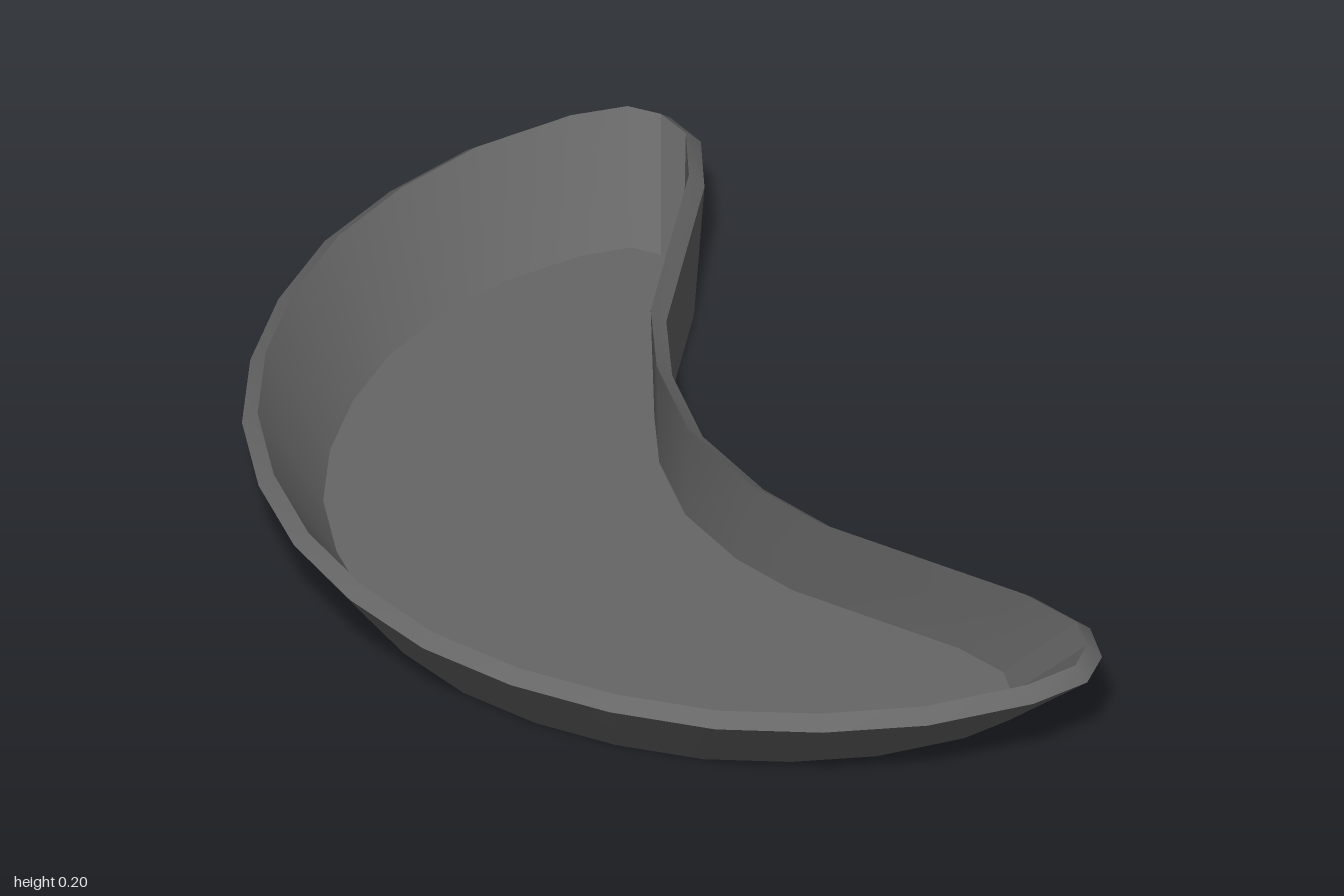
import * as THREE from 'three';
import { toCreasedNormals } from 'three/addons/utils/BufferGeometryUtils.js';

// Half of the crescent rim as [x, z], from the middle of the back round the tip to the hollow
const HALF = [
  [-0.595, 0], [-0.575, 0.195], [-0.52, 0.385], [-0.425, 0.555], [-0.3, 0.705], [-0.15, 0.833],
  [0.02, 0.923], [0.2, 0.982], [0.4, 1], [0.515, 0.98], [0.572, 0.92], [0.59, 0.83],
  [0.537, 0.7], [0.3, 0.35], [0.24, 0.195], [0.21, 0],
];

// Move an outline inwards by a distance
function inset(ring, d) {
  const n = ring.length;
  return ring.map(([x, z], i) => {
    const [ax, az] = ring[(i + n - 1) % n], [bx, bz] = ring[(i + 1) % n];
    const len = Math.hypot(bx - ax, bz - az);
    return [x + (bz - az) / len * d, z - (bx - ax) / len * d];
  });
}

const lift = (ring, y) => ring.map(([x, z]) => [x, y(x), z]);

function toMesh(name, positions, material) {
  const geometry = new THREE.BufferGeometry();
  geometry.setAttribute('position', new THREE.Float32BufferAttribute(positions, 3));
  const mesh = new THREE.Mesh(toCreasedNormals(geometry, 0.45), material);
  mesh.name = name;
  return mesh;
}

// Wall between two matching outlines
function band(name, a, b, material) {
  const p = [];
  for (let i = 0; i < a.length; i++) {
    const j = (i + 1) % a.length;
    p.push(...a[i], ...a[j], ...b[j], ...a[i], ...b[j], ...b[i]);
  }
  return toMesh(name, p, material);
}

// Flat face filling an outline, facing up or down
function cap(name, ring, up, material) {
  const outline = ring.map(([x, , z]) => new THREE.Vector2(x, -z));
  const p = [];
  for (const [a, b, c] of THREE.ShapeUtils.triangulateShape(outline, [])) {
    for (const i of up ? [a, b, c] : [a, c, b]) p.push(...ring[i]);
  }
  return toMesh(name, p, material);
}

export function createModel() {
  const group = new THREE.Group();
  group.name = 'crescentDish';
  const grey = new THREE.MeshStandardMaterial({ color: 0x666666 });
  grey.name = 'dark grey';

  // Outlines: the base is the rim shrunk towards a point inside the crescent
  const rim = [...HALF, ...HALF.slice(1, -1).reverse().map(([x, z]) => [x, -z])];
  const base = rim.map(([x, z]) => [x * 0.82 + 0.018, z * 0.82]);

  const bottom = lift(base, () => 0);
  const outer = lift(rim, () => 0.175);
  const lip = lift(inset(rim, 0.028), (x) => 0.197 + 0.004 * x);
  const floor = lift(inset(base, 0.015), () => 0.015);

  group.add(
    cap('underside', bottom, false, grey),
    band('outerWall', bottom, outer, grey),
    band('rim', outer, lip, grey),
    band('innerWall', lip, floor, grey),
    cap('floor', floor, true, grey),
  );
  return group;
}
